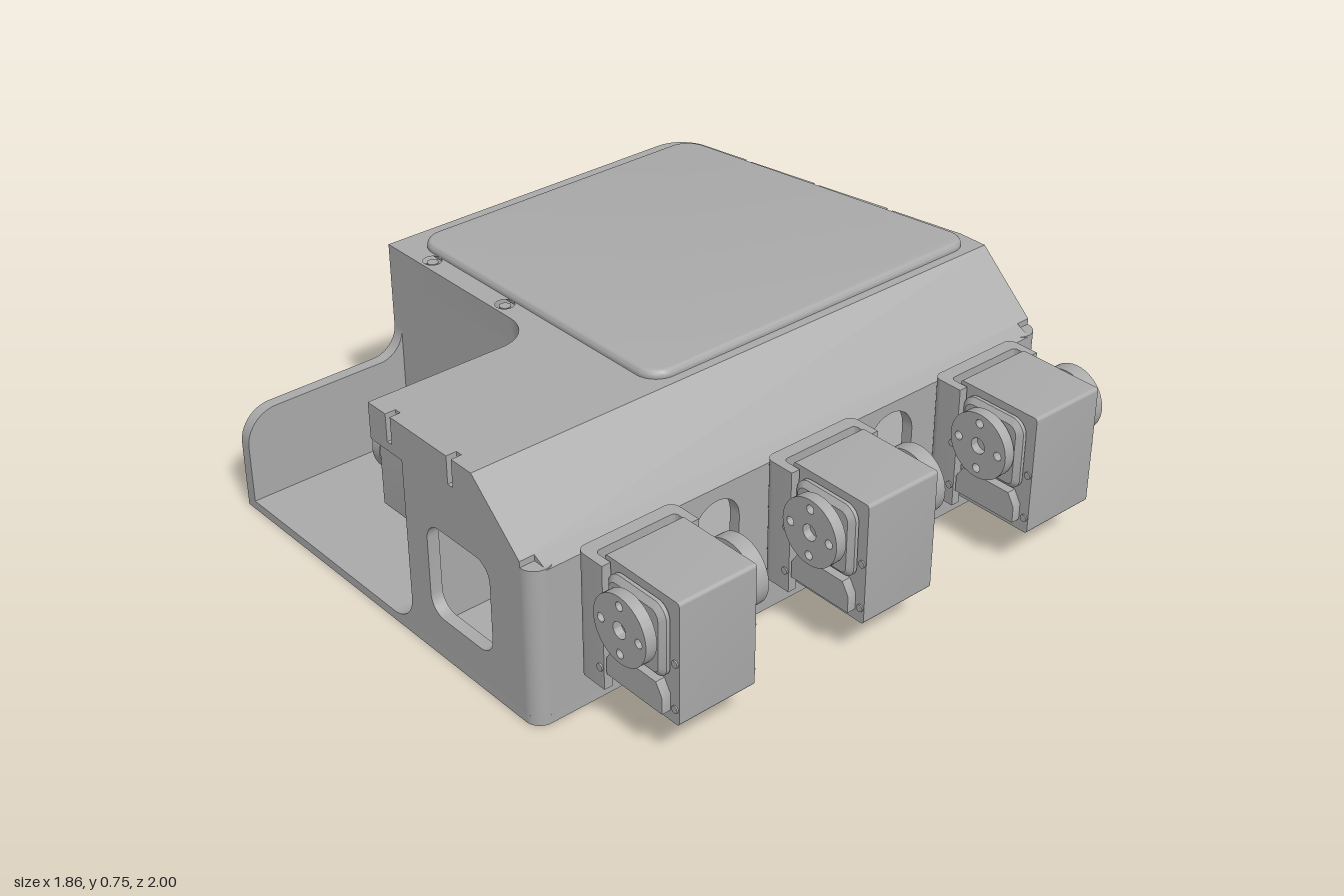
import * as THREE from 'three';
import { toCreasedNormals } from 'three/addons/utils/BufferGeometryUtils.js';

const grey = new THREE.MeshStandardMaterial({ color: 0xaaaaaa });
grey.name = 'grey';

// Closed outline from [x, y, cornerRadius] points
function outline(points, target = new THREE.Shape()) {
  const n = points.length;
  points.forEach(([x, y, r = 0], i) => {
    const c = new THREE.Vector2(x, y);
    const toward = (p, d) => c.clone().add(new THREE.Vector2(p[0] - x, p[1] - y).setLength(d));
    const prev = points[(i + n - 1) % n], next = points[(i + 1) % n];
    const a = r ? toward(prev, r) : c;
    if (i === 0) target.moveTo(a.x, a.y); else target.lineTo(a.x, a.y);
    if (r) {
      const b = toward(next, r), ca = a.clone().lerp(c, 0.552), cb = b.clone().lerp(c, 0.552);
      target.bezierCurveTo(ca.x, ca.y, cb.x, cb.y, b.x, b.y);
    }
  });
  target.closePath();
  return target;
}
const rect = (x0, y0, x1, y1, r) =>
  outline([[x0, y0, r], [x1, y0, r], [x1, y1, r], [x0, y1, r]], new THREE.Path());
const circle = (x, y, r) => new THREE.Path().absarc(x, y, r, 0, Math.PI * 2, true);

function add(parent, name, geometry, x = 0, y = 0, z = 0) {
  const mesh = new THREE.Mesh(geometry, grey);
  mesh.name = name;
  mesh.position.set(x, y, z);
  parent.add(mesh);
  return mesh;
}
function extrudeShape(shape, depth, holes = [], extra = {}) {
  shape.holes.push(...holes);
  const g = new THREE.ExtrudeGeometry(shape, { depth, bevelEnabled: false, curveSegments: 10, ...extra });
  return toCreasedNormals(g, 0.6);
}
const extrude = (points, depth, holes, extra) => extrudeShape(outline(points), depth, holes, extra);
// Points given as [x, z, radius], extruded upward
const plan = (points, height, holes, extra) =>
  extrude(points.map(([x, z, r]) => [x, -z, r]), height, holes, extra).rotateX(-Math.PI / 2);
// Points given as [z, y, radius], extruded toward -x
const side = (points, depth, holes) => extrude(points, depth, holes).rotateY(-Math.PI / 2);
const box = (w, h, d) => new THREE.BoxGeometry(w, h, d);

// Servo with a horn at each end; axis along local z
function servo(name) {
  const g = new THREE.Group();
  g.name = name;
  add(g, 'servoCase', extrude([[-0.15, -0.2, 0.01], [0.15, -0.2, 0.01], [0.15, 0.2, 0.01], [-0.15, 0.2, 0.01]], 0.27), 0, 0, -0.135);
  add(g, 'gearCover', extrude([[-0.1, -0.04, 0.02], [0.1, -0.04, 0.02], [0.1, 0.16, 0.03], [-0.1, 0.16, 0.03]], 0.012,
    [], { bevelEnabled: true, bevelSize: 0.018, bevelThickness: 0.014, bevelSegments: 1 }), 0, 0, 0.139);
  add(g, 'connector', extrude([[-0.115, -0.165], [0.115, -0.165], [0.115, -0.11], [0.09, -0.07], [-0.09, -0.07], [-0.115, -0.11]], 0.03), 0, 0, 0.135);
  for (const [z, depth, neckZ] of [[0.175, 0.037, 0.165], [-0.22, 0.05, -0.15]]) {
    const holes = [circle(0, 0, 0.026)];
    for (let i = 0; i < 4; i++) {
      const a = i * Math.PI / 2;
      holes.push(circle(0.077 * Math.cos(a), 0.077 * Math.sin(a), 0.014));
    }
    const disc = new THREE.Shape().absarc(0, 0, 0.108, 0, Math.PI * 2);
    add(g, 'horn', extrudeShape(disc, depth, holes, { curveSegments: 32 }), 0, 0.07, z);
    add(g, 'hornNeck', new THREE.CylinderGeometry(0.036, 0.036, 0.04, 20).rotateX(Math.PI / 2), 0, 0.07, neckZ);
  }
  return g;
}

export function createModel() {
  const model = new THREE.Group();
  model.name = 'servoHousing';
  const body = new THREE.Group();
  body.name = 'housing';
  model.add(body);

  // Floor
  add(body, 'floor', plan([[-0.93, 1], [-0.93, -0.806, 0.11], [0.2, -1], [0.55, -1, 0.05], [0.55, 1, 0.05]], 0.03));

  // Left wall running out to a low fin, with five round holes
  const wallHoles = [[-0.36, 0.31], [-0.025, 0.51], [-0.025, 0.325], [-0.025, 0.14], [0.2, 0.32]];
  add(body, 'leftWall', side([[-0.7, 0], [1, 0], [1, 0.34, 0.11], [0.41, 0.34, 0.09], [0.41, 0.63], [-0.7, 0.63]], 0.04,
    wallHoles.map(([z, y]) => circle(z, y, 0.045))), -0.89);
  add(body, 'backCorner', plan([[-0.93, -0.7], [-0.93, -0.806, 0.1], [-0.82, -0.825], [-0.813, -0.786],
    [-0.89, -0.772, 0.06], [-0.89, -0.7]], 0.63));

  // Slanted back wall with a window, then its straight end
  add(body, 'backWall', extrude([[0, 0], [1.035, 0], [1.035, 0.63], [0, 0.63]], 0.04,
    [rect(0.12, 0.12, 0.86, 0.5, 0.06)]), -0.82, 0, -0.825).rotation.y = 0.17;
  const endProfile = (x) => [[x, 0], [0.5, 0], [0.5, 0.515], [0.3, 0.515], [0.3, 0.63], [x, 0.63]];
  add(body, 'backEnd', extrude(endProfile(0.2), 0.04), 0, 0, -1);

  // Front wall with a window
  add(body, 'frontWall', extrude(endProfile(0), 0.04, [rect(0.07, 0.14, 0.36, 0.45, 0.06)]), 0, 0, 0.96);

  // Right wall with two slots and rounded ends
  add(body, 'rightWall', side([[-0.95, 0], [0.95, 0], [0.95, 0.515], [-0.95, 0.515]], 0.04,
    [rect(0.26, 0.06, 0.43, 0.47, 0.085), rect(-0.44, 0.05, -0.25, 0.48, 0.095)]), 0.55);
  for (const s of [-1, 1]) {
    add(body, 'rightCorner', new THREE.CylinderGeometry(0.05, 0.05, 0.52, 32), 0.5, 0.26, s * 0.95);
  }
  add(body, 'slope', extrude([[0.3, 0.515], [0.5, 0.515], [0.5, 0.54], [0.3, 0.72]], 2), 0, 0, -1);
  add(body, 'slopeEdge', extrude([[0.5, 0.515], [0.55, 0.515], [0.5, 0.54]], 1.9), 0, 0, -0.95);

  // Walls of the open tray
  add(body, 'trayBack', box(0.92, 0.63, 0.04), -0.46, 0.315, 0.39);
  add(body, 'traySide', extrude([[-0.13, 0], [0.01, 0], [0.01, 0.6], [-0.03, 0.6], [-0.03, 0.03, 0.1], [-0.13, 0.03]], 0.59), 0, 0, 0.41);
  add(body, 'overhang', plan([[0.01, 1], [-0.18, 1], [-0.18, 0.41, 0.12], [-0.35, 0.41], [-0.35, 0.38], [0.01, 0.38]], 0.03), 0, 0.6);

  // Roof with screw slots cut in its edges and two screw holes
  const backZ = (x) => -0.966 - x * 0.1716;
  const notch = (x, z, dir) => [[x - dir * 0.011, z], [x - dir * 0.011, z + dir * 0.035],
    [x + dir * 0.011, z + dir * 0.035], [x + dir * 0.011, z]];
  const screws = [-0.75, -0.38];
  add(body, 'roof', plan([[-0.93, 0.41], [-0.93, -0.806, 0.1],
    ...[-0.64, -0.36, -0.07].flatMap((x) => notch(x, backZ(x), 1)),
    [0.2, -1], [0.3, -1], [0.3, 1], ...notch(0.2, 1, -1), ...notch(-0.085, 1, -1),
    [-0.18, 1], [-0.18, 0.41, 0.12]], 0.09, screws.map((x) => circle(x, -0.37, 0.03))), 0, 0.63);
  for (const x of screws) {
    add(body, 'screw', new THREE.CylinderGeometry(0.018, 0.018, 0.085, 16), x, 0.673, 0.37);
  }

  // Raised lid panel
  add(body, 'lidPanel', plan([[-0.855, -0.77, 0.06], [0.255, -0.955, 0.06], [0.255, 0.325, 0.06], [-0.855, 0.325, 0.06]],
    0.005, [], { bevelEnabled: true, bevelSize: 0.015, bevelThickness: 0.02, bevelSegments: 4 }), 0, 0.72);

  // Three outer servos in U brackets
  for (const z of [-0.69, -0.005, 0.68]) {
    const unit = servo('outerServo');
    unit.position.set(0.78, 0.35, z);
    add(unit, 'bracket', plan([[-0.23, -0.17, 0.03], [-0.12, -0.17], [-0.12, -0.14], [-0.185, -0.14, 0.015],
      [-0.185, 0.14, 0.015], [-0.12, 0.14], [-0.12, 0.17], [-0.23, 0.17, 0.03]], 0.41), 0, -0.22);
    for (const y of [-0.15, 0]) {
      for (const x of [-0.135, 0.135]) {
        add(unit, 'rivet', new THREE.CylinderGeometry(0.012, 0.012, x < 0 ? 0.35 : 0.28, 12).rotateX(Math.PI / 2), x, y);
      }
    }
    model.add(unit);
  }

  // Servo lying in the tray with its horn toward -x
  const inner = servo('trayServo');
  inner.setRotationFromMatrix(new THREE.Matrix4().makeBasis(
    new THREE.Vector3(0, -1, 0), new THREE.Vector3(0, 0, 1), new THREE.Vector3(-1, 0, 0)));
  inner.position.set(-0.16, 0.425, 0.7);
  model.add(inner);
  add(model, 'trayServoMount', box(0.04, 0.31, 0.16), -0.3, 0.43, 0.49);
  return model;
}
